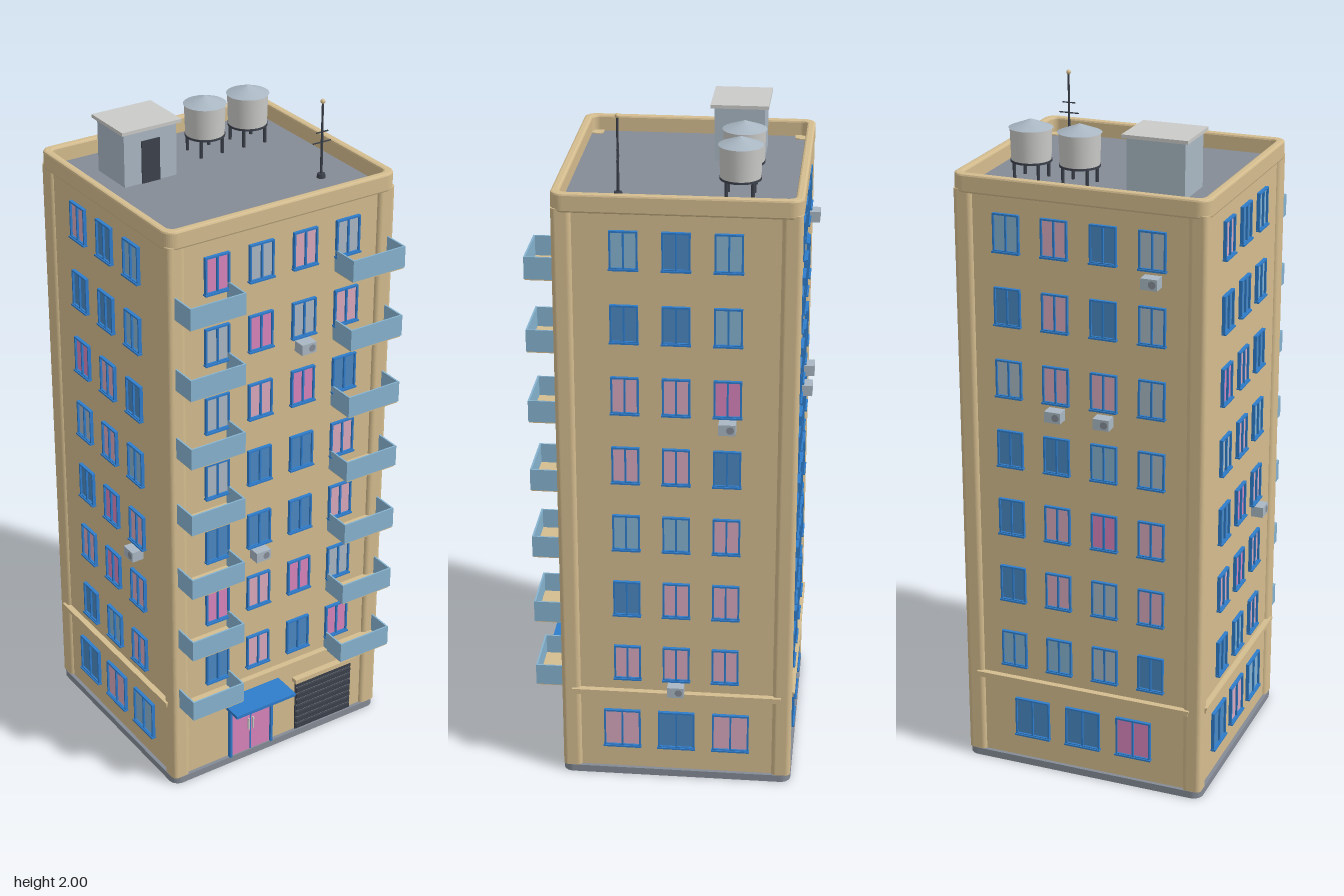
import * as THREE from 'three';

const mat = (name, color, side = THREE.FrontSide) => {
  const m = new THREE.MeshStandardMaterial({ color, side });
  m.name = name;
  return m;
};

export function createModel() {
  const M = {
    wall: mat('tan plaster', 0xd4bc8e),
    roof: mat('roof grey', 0x858b96),
    dark: mat('charcoal', 0x3c414b),
    blue: mat('frame blue', 0x2f7dcc),
    glass: mat('deep blue glass', 0x4a88c2),
    hot: mat('bright pink', 0xd884bc),
    pink: mat('pale pink', 0xd8a8bc),
    pale: mat('pale blue grey', 0xa9b7c3),
    sky: mat('light blue', 0x86b3d0),
    white: mat('light grey', 0xcaCac8),
  };
  const model = new THREE.Group();
  model.name = 'apartmentTower';
  const tower = new THREE.Group();
  tower.name = 'tower';
  tower.position.z = -0.03;
  model.add(tower);

  const add = (parent, name, geo, material, x = 0, y = 0, z = 0) => {
    const m = new THREE.Mesh(geo, material);
    m.name = name;
    m.position.set(x, y, z);
    parent.add(m);
    return m;
  };
  const box = (p, name, m, w, h, d, x, y, z) => add(p, name, new THREE.BoxGeometry(w, h, d), m, x, y, z);
  const cyl = (p, name, m, r1, r2, h, x, y, z, n = 12) => add(p, name, new THREE.CylinderGeometry(r1, r2, h, n), m, x, y, z);

  // Rounded rectangle outline, used as a shape or a hole
  const roundRect = (Type, hx, hy, r) => {
    const s = new Type();
    s.absarc(hx - r, hy - r, r, 0, Math.PI / 2);
    s.absarc(-hx + r, hy - r, r, Math.PI / 2, Math.PI);
    s.absarc(-hx + r, -hy + r, r, Math.PI, Math.PI * 1.5);
    s.absarc(hx - r, -hy + r, r, Math.PI * 1.5, Math.PI * 2);
    s.closePath();
    return s;
  };
  // Extrude a plan shape upward from y0 to y1, with an optional soft edge
  const rise = (shape, y0, y1, bevel = 0) => new THREE.ExtrudeGeometry(shape, {
    depth: y1 - y0 - 2 * bevel, curveSegments: 5, bevelEnabled: bevel > 0,
    bevelSize: bevel, bevelThickness: bevel, bevelOffset: -bevel, bevelSegments: 2,
  }).rotateX(-Math.PI / 2).translate(0, y0 + bevel, 0);

  // Main body
  const HX = 0.36, HZ = 0.328;
  add(tower, 'plinth', rise(roundRect(THREE.Shape, 0.371, 0.339, 0.03), 0, 0.022), M.roof);
  box(tower, 'walls', M.wall, HX * 2, 1.745, HZ * 2, 0, 0.8925, 0);
  for (const sx of [-1, 1]) for (const sz of [-1, 1]) {
    add(tower, 'cornerPier', rise(roundRect(THREE.Shape, 0.028, 0.028, 0.014), 0.022, 1.772), M.wall, sx * 0.342, 0, sz * 0.31);
  }
  const rim = roundRect(THREE.Shape, 0.373, 0.34, 0.035);
  rim.holes.push(roundRect(THREE.Path, 0.349, 0.316, 0.02));
  add(tower, 'parapet', rise(rim, 1.762, 1.816, 0.006), M.wall);
  add(tower, 'roofDeck', rise(roundRect(THREE.Shape, 0.352, 0.32, 0.02), 1.762, 1.769), M.roof);

  // Window: framed double casement with a sill
  const frameGeo = (w, h) => {
    const t = 0.005, s = roundRect(THREE.Shape, w / 2, h / 2, 0.0005);
    for (const k of [-1, 1]) {
      const hole = new THREE.Path(), a = k < 0 ? -w / 2 + t : t / 2, b = k < 0 ? -t / 2 : w / 2 - t, v = h / 2 - t;
      hole.moveTo(a, -v).lineTo(a, v).lineTo(b, v).lineTo(b, -v).closePath();
      s.holes.push(hole);
    }
    return new THREE.ExtrudeGeometry(s, { depth: 0.01, bevelEnabled: false, curveSegments: 1 });
  };
  const upper = { w: 0.078, h: 0.11 }, lower = { w: 0.108, h: 0.122 };
  for (const k of [upper, lower]) k.frame = frameGeo(k.w, k.h);
  const paint = { d: M.glass, h: M.hot, p: M.pink, g: M.pale, s: M.sky };
  const addWindow = (p, k, code, x, y) => {
    const g = new THREE.Group();
    g.name = 'window';
    g.position.set(x, y, 0);
    p.add(g);
    add(g, 'windowFrame', k.frame, M.blue);
    box(g, 'windowPane', paint[code], k.w - 0.008, k.h - 0.008, 0.005, 0, 0, 0.0015);
    box(g, 'windowSill', M.blue, k.w + 0.004, 0.005, 0.014, 0, -k.h / 2, 0.007);
  };

  // Air conditioner with fan grille
  const addCooler = (p, x, y) => {
    box(p, 'airConditioner', M.pale, 0.048, 0.032, 0.037, x, y, 0.0185);
    add(p, 'fanGrille', new THREE.CircleGeometry(0.011, 12), M.roof, x + 0.009, y, 0.0376);
  };

  // Four sides; window codes run from the top floor down, as seen from outside
  const four = [-0.2135, -0.0715, 0.0715, 0.2135], three = [-0.1425, 0, 0.1425];
  const floorY = (row) => 1.66 - row * 0.2128;
  const sides = [
    { name: 'front', turn: 0, out: HZ, cols: four, half: 0.33, low: '', rows: ['hgpg', 'ghgp', 'gphd', 'gddp', 'dddp', 'hphg', 'dpdh'], ac: [[-0.075, 0.73], [0.07, 1.365]] },
    { name: 'right', turn: Math.PI / 2, out: HX, cols: three, half: 0.303, low: 'pdp', rows: ['sds', 'dds', 'pph', 'ppd', 'ssp', 'dpp', 'ppp'], ac: [[0.143, 1.155], [0, 0.305]] },
    { name: 'back', turn: Math.PI, out: HZ, cols: four, half: 0.33, low: 'ddh', rows: ['spdg', 'dpdg', 'gppg', 'ddsg', 'dphp', 'dpgp', 'ssgd'], ac: [[0.215, 1.575], [-0.07, 1.15], [0.075, 1.15]] },
    { name: 'left', turn: -Math.PI / 2, out: HX, cols: three, half: 0.303, low: 'dps', rows: ['pds', 'dds', 'hpd', 'gps', 'dhp', 'php', 'dsp'], ac: [[0.1425, 0.73]] },
  ];
  let front;
  for (const s of sides) {
    const turn = new THREE.Group(), face = new THREE.Group();
    turn.name = s.name + 'Side';
    face.name = s.name + 'Face';
    turn.rotation.y = s.turn;
    face.position.z = s.out;
    tower.add(turn);
    turn.add(face);
    if (s.name === 'front') front = face;
    s.rows.forEach((row, r) => s.cols.forEach((x, c) => addWindow(face, upper, row[c], x, floorY(r))));
    [...s.low].forEach((code, c) => addWindow(face, lower, code, (c - 1) * 0.16, 0.158));
    s.ac.forEach(([x, y]) => addCooler(face, x, y));
    box(face, 'ledge', M.wall, s.half * 2, 0.014, 0.016, 0, 0.278, 0.006);
    box(face, 'ledgeCap', M.wall, s.half * 2 + 0.008, 0.006, 0.022, 0, 0.287, 0.007);
  }

  // Balconies: slab with a three-sided parapet
  for (let r = 0; r < 7; r++) for (const sx of [-1, 1]) {
    const b = new THREE.Group();
    b.name = 'balcony';
    b.position.set(sx * 0.2625, floorY(r) - 0.102, 0);
    front.add(b);
    box(b, 'balconyFloor', M.wall, 0.17, 0.01, 0.086, 0, 0.005, 0.043);
    box(b, 'balconyFront', M.sky, 0.176, 0.064, 0.005, 0, 0.036, 0.0855);
    for (const k of [-1, 1]) box(b, 'balconySide', M.sky, 0.005, 0.064, 0.084, k * 0.0855, 0.036, 0.042);
  }

  // Entrance: double door, frame and canopy
  const dx = -0.097;
  for (const k of [-1, 1]) {
    box(front, 'doorLeaf', M.hot, 0.068, 0.19, 0.008, dx + k * 0.0355, 0.117, 0.003);
    box(front, 'doorPost', M.blue, 0.007, 0.2, 0.016, dx + k * 0.0735, 0.122, 0.007);
    box(front, 'doorHandle', M.white, 0.004, 0.04, 0.006, dx + k * 0.008, 0.12, 0.01);
  }
  box(front, 'doorSplit', M.blue, 0.004, 0.19, 0.009, dx, 0.117, 0.004);
  box(front, 'doorHeader', M.blue, 0.154, 0.008, 0.016, dx, 0.218, 0.007);
  box(front, 'canopy', M.blue, 0.21, 0.01, 0.093, dx, 0.235, 0.0465);

  // Roller shutter with slats and a housing
  box(front, 'shutter', M.dark, 0.205, 0.185, 0.006, 0.172, 0.115, 0.002);
  for (let i = 0; i < 8; i++) box(front, 'shutterSlat', M.dark, 0.2, 0.015, 0.006, 0.172, 0.034 + i * 0.0225, 0.007);
  for (let i = 0; i < 7; i++) box(front, 'shutterGap', M.roof, 0.2, 0.003, 0.004, 0.172, 0.0453 + i * 0.0225, 0.004);
  box(front, 'shutterHousing', M.wall, 0.225, 0.014, 0.022, 0.172, 0.213, 0.01);

  // Stair hut on the roof
  const hut = new THREE.Group();
  hut.name = 'roofHut';
  hut.position.set(-0.174, 1.769, -0.135);
  tower.add(hut);
  box(hut, 'hutWalls', M.pale, 0.168, 0.157, 0.142, 0, 0.0785, 0);
  box(hut, 'hutRoof', M.white, 0.19, 0.01, 0.164, 0, 0.162, 0);
  box(hut, 'hutDoor', M.dark, 0.058, 0.125, 0.006, 0, 0.0625, 0.071);

  // Water tanks on legs
  for (const x of [0.065, 0.21]) {
    const t = new THREE.Group();
    t.name = 'waterTank';
    t.position.set(x, 1.769, -0.16);
    tower.add(t);
    cyl(t, 'tankBody', M.white, 0.059, 0.056, 0.09, 0, 0.101, 0, 24);
    cyl(t, 'tankBase', M.dark, 0.058, 0.058, 0.006, 0, 0.054, 0, 24);
    add(t, 'tankLid', new THREE.ConeGeometry(0.062, 0.024, 24), M.pale, 0, 0.158, 0);
    for (const a of [-1, 1]) for (const b of [-1, 1]) cyl(t, 'tankLeg', M.dark, 0.005, 0.005, 0.054, a * 0.036, 0.027, b * 0.036, 8);
  }

  // Antenna
  const mast = new THREE.Group();
  mast.name = 'antenna';
  mast.position.set(0.236, 1.769, 0.17);
  tower.add(mast);
  cyl(mast, 'mastBase', M.dark, 0.011, 0.013, 0.012, 0, 0.006, 0);
  cyl(mast, 'mastPole', M.dark, 0.003, 0.004, 0.222, 0, 0.111, 0, 8);
  add(mast, 'mastTip', new THREE.SphereGeometry(0.007, 10, 8), M.wall, 0, 0.224, 0);
  box(mast, 'crossbar', M.dark, 0.06, 0.003, 0.003, 0, 0.105, 0);
  box(mast, 'crossbar', M.dark, 0.04, 0.003, 0.003, 0, 0.135, 0);

  return model;
}
